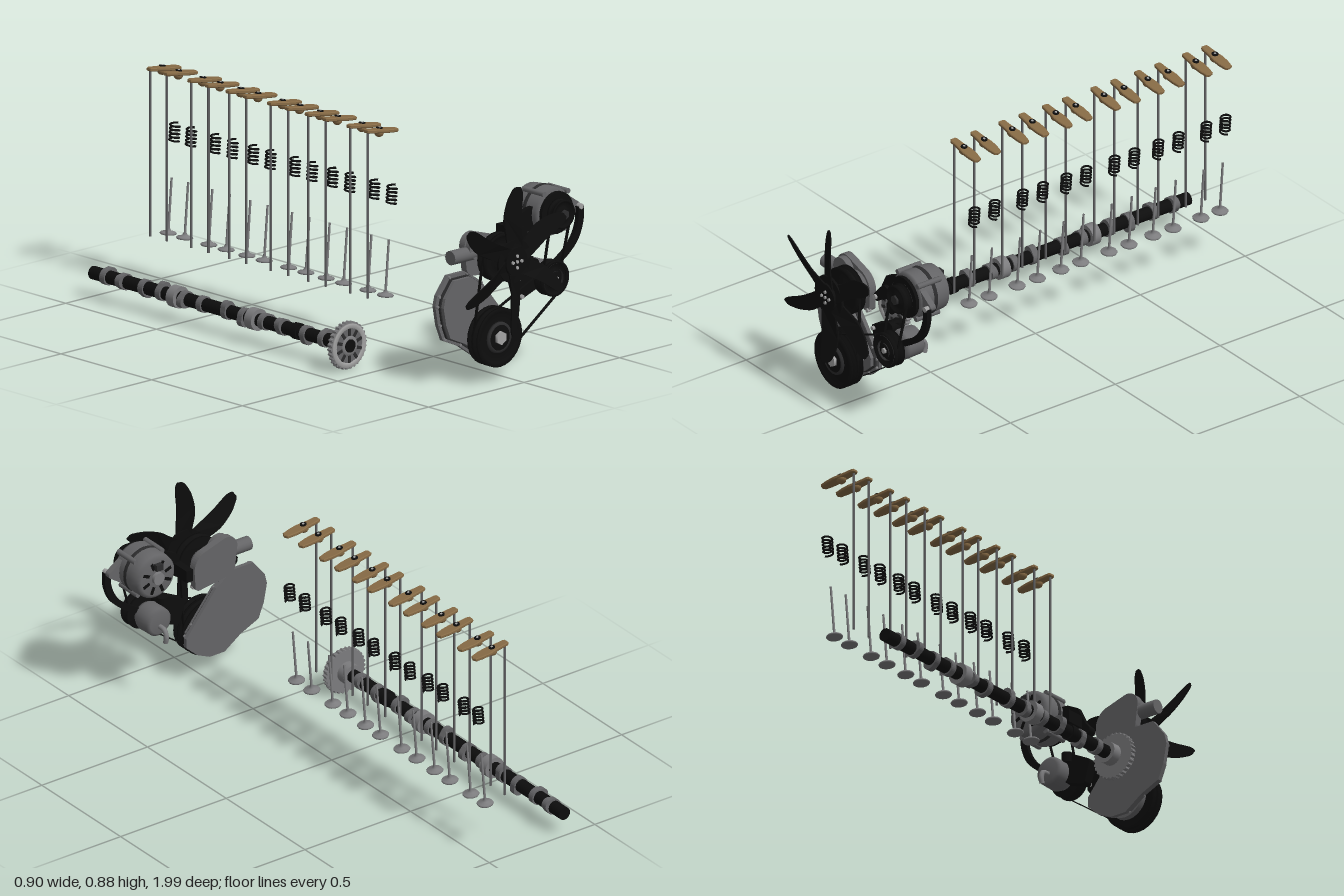
import * as THREE from 'three';

const mat = (name, color) => {
  const m = new THREE.MeshStandardMaterial({ color });
  m.name = name;
  return m;
};

export function createModel() {
  const black = mat('black', 0x0d0d0d), dark = mat('dark grey', 0x2c2c2d), grey = mat('cast grey', 0x646466);
  const steel = mat('steel', 0x7c7c7e), light = mat('bright steel', 0xa2a2a2), bronze = mat('bronze', 0x866a45);
  const root = new THREE.Group();

  const add = (name, geo, material, x = 0, y = 0, z = 0, parent = root) => {
    const m = new THREE.Mesh(geo, material);
    m.name = name;
    m.position.set(x, y, z);
    parent.add(m);
    return m;
  };
  const group = (name, parent = root) => {
    const g = new THREE.Group();
    g.name = name;
    parent.add(g);
    return g;
  };
  // Cylinder along z between z0 and z1
  const disc = (name, r, x, y, z0, z1, material, parent = root, sides = 24, rFront = r) =>
    add(name, new THREE.CylinderGeometry(rFront, r, z1 - z0, sides).rotateX(Math.PI / 2), material, x, y, (z0 + z1) / 2, parent);
  // Turned part about z, profile given as [radius, z]
  const turned = (name, pts, x, y, material, parent = root, sides = 28) =>
    add(name, new THREE.LatheGeometry(pts.map(p => new THREE.Vector2(...p)), sides).rotateX(Math.PI / 2), material, x, y, 0, parent);
  const plate = (name, shape, z0, z1, material, parent = root) =>
    add(name, new THREE.ExtrudeGeometry(shape, { depth: z1 - z0, bevelEnabled: false, curveSegments: 10 }), material, 0, 0, z0, parent);
  const poly = pts => new THREE.Shape(pts.map(p => new THREE.Vector2(...p)));
  // Outline wrapped round several circles [x, y, r]
  const hull = (circles, inset = 0, n = 48) => {
    const pts = [];
    for (let i = 0; i < n; i++) {
      const a = i / n * Math.PI * 2, c = Math.cos(a), s = Math.sin(a);
      const best = circles.reduce((p, q) => (q[0] * c + q[1] * s + q[2] > p[0] * c + p[1] * s + p[2] ? q : p));
      pts.push([best[0] + (best[2] - inset) * c, best[1] + (best[2] - inset) * s]);
    }
    return pts;
  };
  const pulley = (name, x, y, r, z0, z1, parent) => {
    const d = z1 - z0;
    turned(name, [[0, z0], [r, z0], [r, z0 + d * .25], [r * .82, z0 + d * .45], [r * .82, z0 + d * .55],
      [r, z0 + d * .75], [r, z1], [r * .86, z1], [r * .8, z1 - d * .25], [r * .5, z1 - d * .25],
      [r * .44, z1], [0, z1]], x, y, black, parent);
  };
  const bolt = (x, y, z, parent, r = .009) => disc('bolt', r, x, y, z - .012, z + .006, light, parent, 6);

  // Camshaft
  const cam = group('camshaft'), cx = -.357, cy = .097;
  disc('camShaft', .026, cx, cy, -1, .42, black, cam, 16);
  const lobes = [-.92, -.825, -.71, -.615, -.487, -.39, -.254, -.16, -.05, .05, .18, .28];
  lobes.forEach((z, i) => {
    const a = i * 2.3 + .6;
    plate('camLobe', poly(hull([[cx, cy, .032], [cx + .018 * Math.cos(a), cy + .018 * Math.sin(a), .025]], 0, 28)), z - .013, z + .013, grey, cam);
  });
  [-.535, -.104, .365].forEach(z => disc('camJournal', .043, cx, cy, z - .02, z + .02, steel, cam));
  disc('oilDriveGear', .032, cx, cy, .115, .145, black, cam, 14);

  // Camshaft gear with helical looking rim, web and ribs
  const gear = group('camGear', cam);
  const teeth = new THREE.Shape(), nT = 30;
  for (let i = 0; i < nT * 4; i++) {
    const a = i / (nT * 4) * Math.PI * 2, r = i % 4 < 2 ? .094 : .088;
    teeth[i ? 'lineTo' : 'moveTo'](cx + r * Math.cos(a), cy + r * Math.sin(a));
  }
  plate('gearRim', teeth, .39, .41, steel, gear);
  turned('gearRing', [[.067, .409], [.088, .409], [.086, .416], [.069, .416], [.067, .409]], cx, cy, light, gear);
  disc('gearWeb', .067, cx, cy, .409, .412, grey, gear);
  turned('gearHub', [[.026, .409], [.04, .409], [.038, .417], [.026, .417]], cx, cy, steel, gear);
  for (let i = 0; i < 10; i++) {
    const a = (i + .5) / 10 * Math.PI * 2;
    add('gearRib', new THREE.BoxGeometry(.027, .012, .005), dark, cx + .053 * Math.cos(a), cy + .053 * Math.sin(a), .413, gear).rotation.z = a;
  }

  // Valve train: one set per valve
  const coil = [];
  for (let i = 0; i <= 72; i++) {
    const a = i / 72 * Math.PI * 10;
    coil.push(new THREE.Vector3(.019 * Math.cos(a), .355 + i / 72 * .072, .019 * Math.sin(a)));
  }
  const springGeo = new THREE.TubeGeometry(new THREE.CatmullRomCurve3(coil), 90, .0042, 5);
  const valveGeo = new THREE.LatheGeometry([[0, -.004], [.031, -.004], [.033, 0], [.03, .004], [.012, .009], [.005, .02], [.0045, .215], [0, .215]]
    .map(p => new THREE.Vector2(...p)), 16);
  const rockerShape = poly([[-.078, -.009], [-.072, -.013], [-.02, -.016], [.01, -.021], [.045, -.019], [.075, -.013], [.08, 0],
    [.075, .013], [.045, .019], [.01, .021], [-.02, .016], [-.072, .013], [-.078, .009]]);
  const rockerGeo = new THREE.ExtrudeGeometry(rockerShape, { depth: .008, bevelThickness: .003, bevelSize: .003, bevelSegments: 1 })
    .rotateX(-Math.PI / 2);
  const ballGeo = new THREE.SphereGeometry(.019, 14, 8);
  const rodGeo = new THREE.CylinderGeometry(.0048, .0048, .655, 8);
  [.283, .187, .053, -.043, -.155, -.25, -.385, -.48, -.594, -.69, -.823, -.914].forEach(z => {
    const set = group('valveSet');
    set.position.z = z;
    add('pushrod', rodGeo, grey, -.138, .542, 0, set);
    const v = group('valve', set);
    v.position.set(-.045, .21, 0);
    v.rotation.z = -Math.atan(.085);
    add('valveBody', valveGeo, steel, 0, 0, 0, v);
    add('valveSpring', springGeo, black, 0, 0, 0, v);
    const r = group('rockerArm', set);
    r.position.set(-.068, .86, 0);
    r.rotation.z = -.14;
    add('rocker', rockerGeo, bronze, 0, 0, 0, r);
    add('rockerCup', ballGeo, bronze, -.01, -.003, 0, r).scale.y = .95;
    add('rockerSocket', new THREE.CylinderGeometry(.013, .013, .004, 14), black, -.01, .015, 0, r);
    add('rockerStud', new THREE.CylinderGeometry(.005, .005, .006, 8), light, -.01, .016, 0, r);
  });

  // Timing cover: flange and raised body
  const cover = group('timingCover');
  const outline = [[-.225, .43], [-.13, .43], [-.05, .375], [.06, .24], [.092, .2], [.09, .16], [.04, .115], [-.02, .088],
    [-.09, .088], [-.165, .14], [-.25, .178], [-.275, .24], [-.29, .32], [-.28, .36]];
  const scaled = k => outline.map(([x, y]) => [-.095 + (x + .095) * k, .26 + (y - .26) * k]);
  plate('coverFlange', poly([...outline].reverse()), .8, .816, grey, cover);
  plate('coverRim', poly(scaled(.92).reverse()), .816, .826, dark, cover);
  plate('coverBody', poly(scaled(.89).reverse()), .816, .84, grey, cover);
  disc('coverNose', .085, -.055, .175, .84, .865, grey, cover);
  scaled(.955).forEach(([x, y]) => disc('coverScrew', .006, x, y, .816, .824, steel, cover, 6));

  // Water pump
  const px = -.022, py = .48, pump = group('waterPump');
  plate('pumpBack', poly(hull([[px, py, .075], [-.1, .53, .05], [-.1, .45, .04], [.03, .41, .018]])), .8, .83, grey, pump);
  disc('pumpHousing', .065, px, py, .83, .865, grey, pump, 24, .045);
  disc('pumpNeck', .05, -.095, .525, .82, .855, grey, pump);
  const inlet = add('pumpInlet', new THREE.CylinderGeometry(.028, .028, .14, 18).rotateZ(Math.PI / 2), grey, -.155, .502, .83, pump);
  inlet.geometry.translate(0, 0, 0);
  bolt(.04, .4, .83, pump);
  pulley('pumpPulley', px, py, .095, .865, .905, pump);
  disc('pumpShaft', .03, px, py, .9, .965, black, pump);

  // Six bladed fan
  const fan = group('fan');
  fan.position.set(px, py, .968);
  const bladeShape = new THREE.Shape();
  bladeShape.moveTo(.035, .03);
  bladeShape.lineTo(-.034, .03);
  bladeShape.splineThru([[-.034, .09], [-.041, .165], [-.028, .235], [-.006, .282]].map(p => new THREE.Vector2(...p)));
  bladeShape.lineTo(.004, .29);
  bladeShape.lineTo(.022, .29);
  bladeShape.splineThru([[.03, .262], [.026, .19], [.026, .13], [.035, .03]].map(p => new THREE.Vector2(...p)));
  const bladeGeo = new THREE.ExtrudeGeometry(bladeShape, { depth: .006, bevelEnabled: false, curveSegments: 8 });
  const bp = bladeGeo.attributes.position;
  for (let i = 0; i < bp.count; i++) bp.setZ(i, bp.getZ(i) + bp.getX(i) * .4 * Math.min(1, bp.getY(i) / .12));
  bladeGeo.computeVertexNormals();
  for (let i = 0; i < 6; i++) add('fanBlade', bladeGeo, black, 0, 0, 0, fan).rotation.z = i * Math.PI / 3;
  disc('fanPlate', .085, 0, 0, -.006, .004, black, fan);
  disc('fanHub', .055, 0, 0, 0, .016, black, fan);
  [[0, 0], [.023, 0], [-.023, 0], [0, .023], [0, -.023]].forEach(([x, y]) => disc('fanBolt', .007, x, y, .012, .022, light, fan, 6));

  // Crank pulley
  const kx = -.055, ky = .175, crank = group('crankPulley');
  pulley('crankWheelRear', kx, ky, .115, .865, .895, crank);
  pulley('crankWheelFront', kx, ky, .116, .893, .925, crank);
  turned('crankRing', [[.05, .916], [.062, .916], [.06, .926], [.05, .926]], kx, ky, dark, crank);
  disc('crankBolt', .027, kx, ky, .91, .936, light, crank, 6);

  // Alternator
  const ax = .305, ay = .585, alt = group('alternator');
  turned('alternatorBody', [[0, .7], [.075, .7], [.09, .712], [.094, .75], [.094, .835], [.086, .85], [0, .85]], ax, ay, grey, alt);
  turned('alternatorBand', [[.0945, .77], [.097, .77], [.097, .785], [.0945, .785]], ax, ay, dark, alt);
  disc('alternatorFan', .083, ax, ay, .85, .864, black, alt);
  turned('alternatorFanRing', [[.06, .864], [.064, .868], [.07, .868], [.072, .864]], ax, ay, dark, alt);
  pulley('alternatorPulley', ax, ay, .057, .864, .9, alt);
  disc('alternatorNut', .02, ax, ay, .89, .908, dark, alt, 6);
  for (let i = 0; i < 8; i++) {
    const a = i * Math.PI / 4 + .4;
    add('rearVent', new THREE.BoxGeometry(.03, .012, .004), black, ax + .055 * Math.cos(a), ay + .055 * Math.sin(a), .699, alt).rotation.z = a;
  }
  disc('rearBearing', .025, ax, ay, .685, .705, steel, alt);
  add('terminal', new THREE.BoxGeometry(.03, .025, .02), dark, ax, ay + .05, .69, alt);
  [[-.055, .08], [.07, .07], [-.055, -.08], [.06, -.075]].forEach(([x, y]) => disc('throughBolt', .011, ax + x, ay + y, .74, .85, grey, alt, 8));
  plate('alternatorEar', poly(hull([[.37, .62, .02], [.37, .55, .02], [.433, .585, .014]])), .815, .84, grey, alt);
  bolt(.434, .585, .855, alt, .012);

  // Steering pump
  const sx = .25, sy = .345, steer = group('steeringPump');
  turned('steeringBody', [[0, .755], [.045, .755], [.058, .765], [.06, .83], [.05, .85], [0, .85]], sx, sy, grey, steer);
  add('steeringFiller', new THREE.CylinderGeometry(.022, .022, .04, 14), black, .2, .4, .81, steer);
  const pipe = new THREE.CatmullRomCurve3([[.25, .33, .76], [.25, .325, .725], [.25, .3, .715], [.25, .275, .72]].map(p => new THREE.Vector3(...p)));
  add('steeringPipe', new THREE.TubeGeometry(pipe, 12, .01, 8), steel, 0, 0, 0, steer);
  pulley('steeringPulley', sx, sy, .07, .865, .91, steer);
  turned('steeringRim', [[.061, .909], [.061, .912], [.07, .912], [.0715, .905]], sx, sy, dark, steer);
  turned('steeringRing', [[.03, .9], [.03, .913], [.04, .913], [.042, .9]], sx, sy, dark, steer);
  disc('steeringBolt', .012, sx, sy, .9, .918, light, steer, 6);

  // Brackets
  const brackets = group('brackets');
  plate('upperBracket', poly(hull([[.1, .487, .017], [.15, .53, .025]])), .8, .835, black, brackets);
  plate('upperBracketArm', poly([[.095, .5], [.12, .475], [.19, .525], [.25, .53], [.25, .62], [.19, .615], [.14, .59]]), .8, .82, black, brackets);
  add('bracketSpacer', new THREE.BoxGeometry(.03, .05, .1), black, .135, .525, .77, brackets);
  bolt(.097, .487, .838, brackets, .011);
  plate('lowerBracket', poly(hull([[.105, .36, .014], [.127, .288, .014], [.2, .4, .022], [.2, .32, .02]])), .81, .85, black, brackets);
  bolt(.105, .36, .855, brackets);
  bolt(.127, .287, .855, brackets);
  const strap = new THREE.Shape();
  strap.moveTo(.448, .585);
  strap.splineThru([[.446, .525], [.42, .46], [.37, .41], [.3, .365]].map(p => new THREE.Vector2(...p)));
  strap.lineTo(.285, .385);
  strap.splineThru([[.35, .425], [.395, .472], [.419, .53], [.42, .585]].map(p => new THREE.Vector2(...p)));
  plate('adjusterStrap', strap, .838, .858, black, brackets);

  // Belts
  const belt = (name, circles, z) => {
    const s = poly(hull(circles));
    s.holes.push(new THREE.Path(hull(circles, .004).reverse().map(p => new THREE.Vector2(...p))));
    plate(name, s, z - .006, z + .006, black);
  };
  belt('fanBelt', [[kx, ky, .1], [px, py, .084]], .882);
  belt('steeringBelt', [[kx, ky, .1], [sx, sy, .062]], .902);
  belt('alternatorBelt', [[ax, ay, .053], [sx, sy, .046]], .884);

  return root;
}
